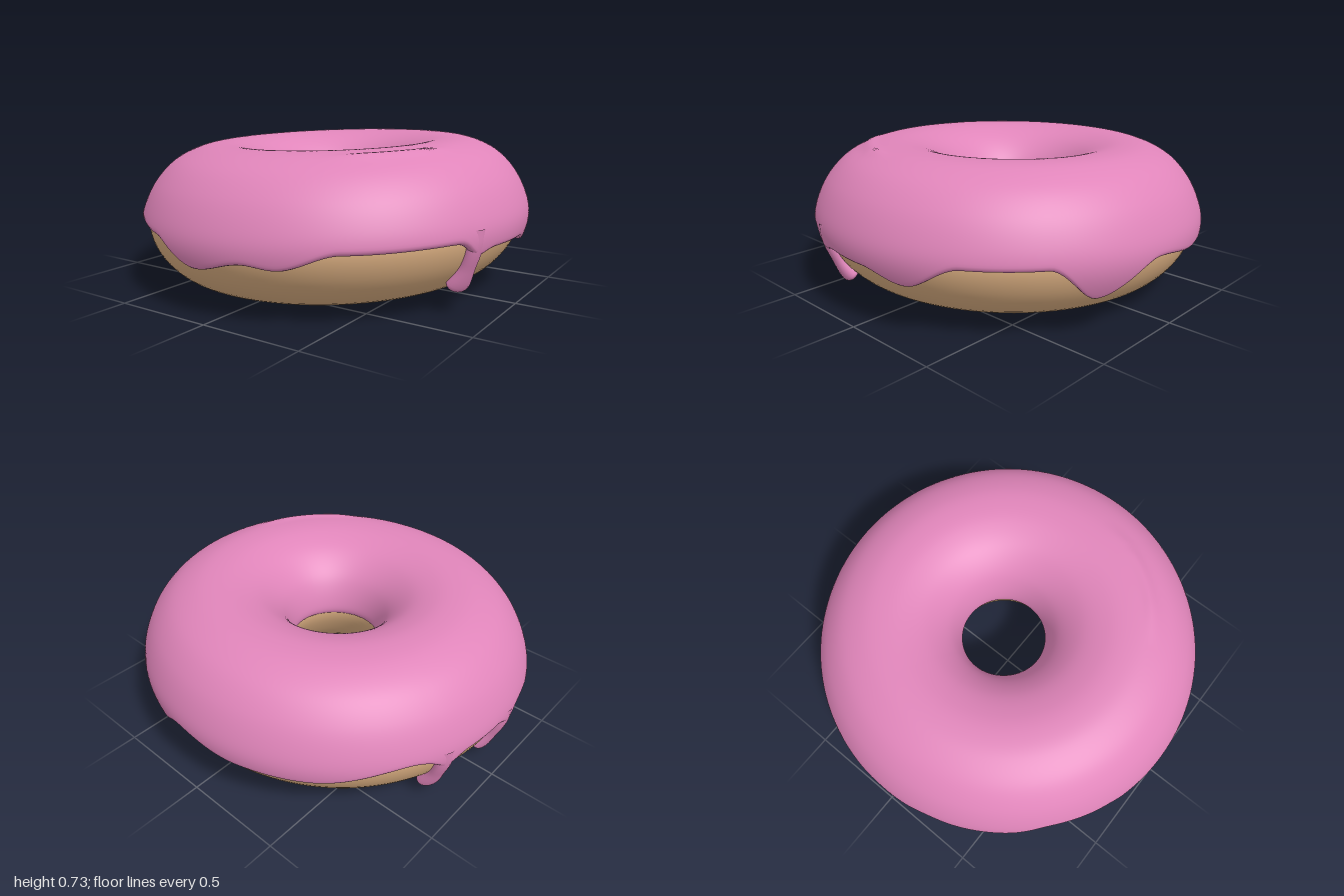
import * as THREE from 'three';

const RAD = Math.PI / 180;
const curve = (pts, closed) =>
  new THREE.CatmullRomCurve3(pts.map(([r, y]) => new THREE.Vector3(r, y, 0)), closed, 'centripetal');

// Cross-sections as (radius, height), from the hole over the top to the outside
const doughProfile = curve([
  [0.235, 0.33], [0.245, 0.42], [0.3, 0.53], [0.4, 0.62], [0.6, 0.67], [0.79, 0.6], [0.9, 0.49],
  [0.945, 0.39], [0.95, 0.3], [0.905, 0.19], [0.81, 0.09], [0.69, 0.035], [0.58, 0.022],
  [0.45, 0.05], [0.36, 0.11], [0.28, 0.22]], true);
const icingProfile = curve([
  [0.26, 0.33], [0.222, 0.36], [0.225, 0.43], [0.275, 0.55], [0.38, 0.65], [0.5, 0.698], [0.6, 0.708],
  [0.7, 0.695], [0.82, 0.64], [0.91, 0.55], [0.965, 0.45], [0.99, 0.36], [0.983, 0.28], [0.94, 0.18], [0.87, 0.09]], false);
const dripPath = curve([[0.965, 0.38], [0.958, 0.3], [0.92, 0.2], [0.875, 0.125], [0.85, 0.1]], false);

// Lower edge of the icing: [angle in degrees from +x towards +z, height]
const edgeKeys = [
  [-180, 0.32], [-161, 0.31], [-150, 0.34], [-125, 0.28], [-105, 0.29], [-85, 0.34], [-67, 0.19],
  [-53, 0.37], [-32, 0.37], [-16, 0.245], [-3, 0.3], [12, 0.305], [25, 0.355], [55, 0.345], [71, 0.265],
  [79, 0.28], [95, 0.22], [112, 0.335], [129, 0.355], [143, 0.29], [153, 0.29], [165, 0.32], [180, 0.32]];
const dripAngles = [18, 174, -161];

const tilt = (a, r) => 0.03 * r * Math.cos(a) - 0.015 * r * Math.sin(a);

function edgeHeight(a) {
  const deg = a / RAD;
  let k = 0;
  while (k < edgeKeys.length - 2 && edgeKeys[k + 1][0] < deg) k++;
  const [[a0, y0], [a1, y1]] = [edgeKeys[k], edgeKeys[k + 1]];
  let y = y0 + (y1 - y0) * THREE.MathUtils.smoothstep(deg, a0, a1);
  for (const d of dripAngles) y -= 0.045 * Math.exp(-(((deg - d) / 3.5) ** 2));
  return y;
}

// Turns (angle, radius, height) into a point, slightly tilted and with an off-centre hole
function place(a, r, y) {
  const shift = Math.max(0, 1 - r);
  return [r * Math.cos(a) - 0.012 * shift, y + tilt(a, r), r * Math.sin(a) - 0.025 * shift];
}

// Surface from cross-sections: row(i) returns the points of section i; sections wrap round
function loft(nu, row, closed) {
  const pos = [], idx = [];
  let nv = 0;
  for (let i = 0; i < nu; i++) {
    const pts = row(i);
    nv = pts.length;
    pts.forEach((p) => pos.push(...p));
  }
  for (let i = 0; i < nu; i++) {
    for (let j = 0; j < (closed ? nv : nv - 1); j++) {
      const i1 = (i + 1) % nu, j1 = (j + 1) % nv;
      const a = i * nv + j, b = i1 * nv + j, c = i1 * nv + j1, d = i * nv + j1;
      idx.push(a, b, d, b, c, d);
    }
  }
  const g = new THREE.BufferGeometry();
  g.setAttribute('position', new THREE.Float32BufferAttribute(pos, 3));
  g.setIndex(idx);
  g.computeVertexNormals();
  return g;
}

function doughGeometry() {
  const nu = 128, nv = 64;
  return loft(nu, (i) => {
    const a = (i / nu) * 2 * Math.PI;
    return Array.from({ length: nv }, (_, j) => {
      const p = doughProfile.getPoint(j / nv);
      return place(a, p.x, p.y);
    });
  }, true);
}

function icingGeometry() {
  const nu = 320, nv = 80, rim = 8, half = 0.024;
  return loft(nu, (i) => {
    const a = (i / nu) * 2 * Math.PI - Math.PI;
    // Find where the profile reaches the edge height
    const target = edgeHeight(a) + 0.018 - tilt(a, 0.97);
    let lo = 0.6, hi = 1;
    for (let k = 0; k < 24; k++) {
      const mid = (lo + hi) / 2;
      if (icingProfile.getPoint(mid).y > target) lo = mid; else hi = mid;
    }
    const pts = [];
    // Faint ridge on the front left of the top
    const ridge = 0.012 * THREE.MathUtils.smoothstep(a, 5 * RAD, 25 * RAD) * (1 - THREE.MathUtils.smoothstep(a, 45 * RAD, 65 * RAD));
    for (let j = 0; j <= nv; j++) {
      const p = icingProfile.getPoint((lo * j) / nv);
      pts.push(place(a, p.x, p.y + ridge * Math.exp(-(((p.x - 0.71) / 0.03) ** 2))));
    }
    // Rounded lip curling back to the dough
    const e = icingProfile.getPoint(lo), t = icingProfile.getTangent(lo);
    for (let k = 1; k <= rim; k++) {
      const q = (k / rim) * Math.PI, s = half * Math.sin(q), c = half * (1 - Math.cos(q));
      pts.push(place(a, e.x + t.x * s + t.y * c, e.y + t.y * s - t.x * c));
    }
    return pts;
  }, false);
}

// Hanging drip: narrow neck with a rounded bulb, following the side of the dough
function dripGeometry(deg) {
  const a = deg * RAD, nu = 20, nv = 28;
  return loft(nu, (i) => {
    const phi = (i / nu) * 2 * Math.PI;
    return Array.from({ length: nv + 1 }, (_, j) => {
      const s = Math.sin((j / nv) * Math.PI / 2);
      const p = dripPath.getPoint(s), t = dripPath.getTangent(s);
      const cap = Math.sqrt(Math.max(0, 1 - Math.max(0, (s - 0.8) / 0.2) ** 2));
      const bulb = THREE.MathUtils.smoothstep(s, 0.45, 0.8);
      const w = -(0.044 + 0.022 * bulb) * cap * Math.cos(phi);
      const d = (0.03 + 0.014 * bulb) * cap * Math.sin(phi);
      const [x, y, z] = place(a, p.x - t.y * d, p.y + t.x * d);
      return [x - w * Math.sin(a), y, z + w * Math.cos(a)];
    });
  }, false);
}

export function createModel() {
  const dough = new THREE.MeshStandardMaterial({ color: 0xd9ad80 });
  dough.name = 'dough';
  const icing = new THREE.MeshStandardMaterial({ color: 0xe085ba });
  icing.name = 'pink icing';

  const model = new THREE.Group();
  model.name = 'donut';
  const add = (name, geometry, material) => {
    const mesh = new THREE.Mesh(geometry, material);
    mesh.name = name;
    model.add(mesh);
  };
  add('doughRing', doughGeometry(), dough);
  add('icingCoat', icingGeometry(), icing);
  dripAngles.forEach((deg, n) => add('icingDrip' + (n + 1), dripGeometry(deg), icing));
  return model;
}
